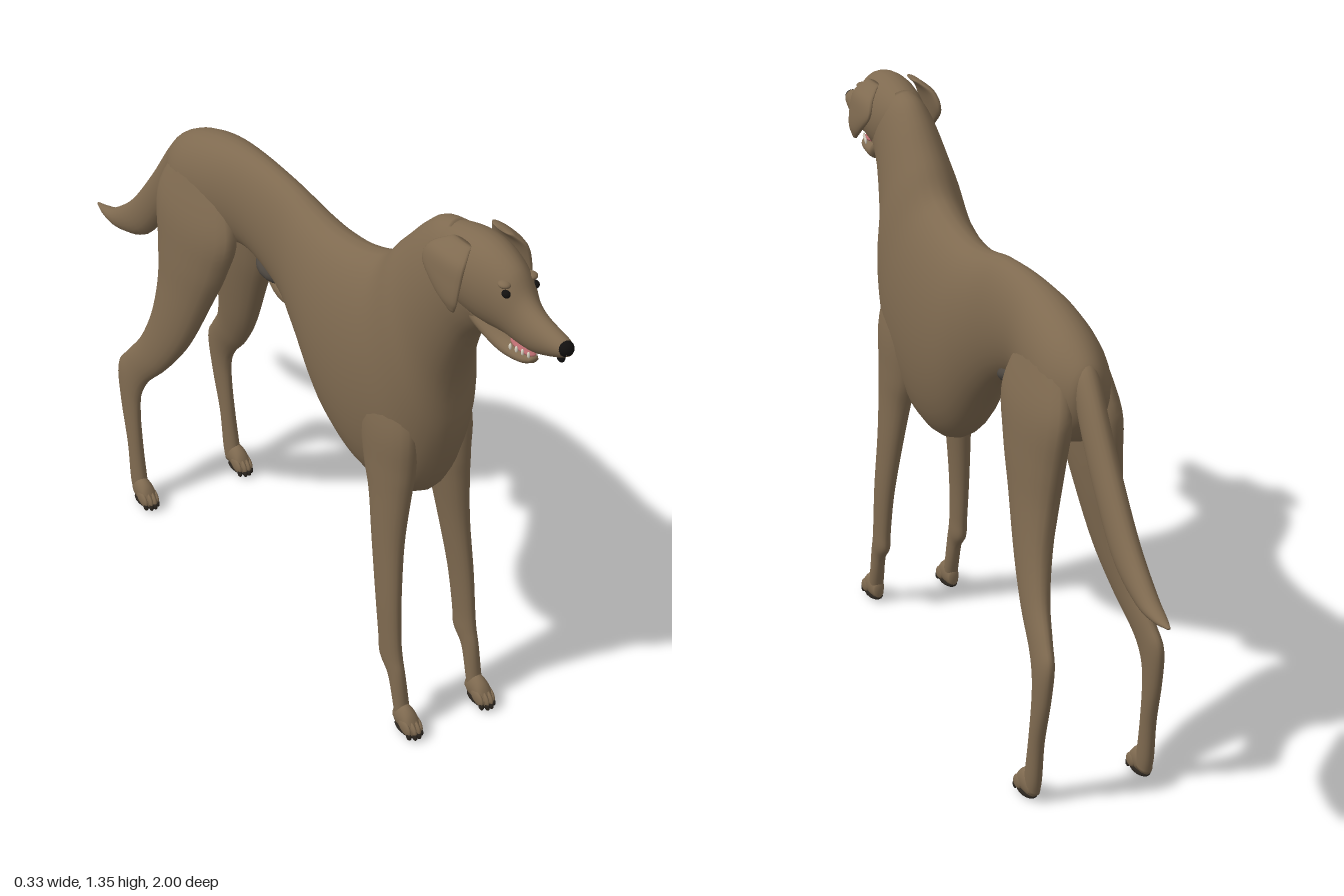
import * as THREE from 'three';

const mat = (name, color) => {
  const m = new THREE.MeshStandardMaterial({ color });
  m.name = name;
  return m;
};

// Smooth closed skin through stations [z1, y1, z2, y2, x, halfWidth]:
// two opposite edge points in the side plane, the middle x and the half width.
function loft(stations, side = 1, seg = 20, sub = 5) {
  const edgeA = new THREE.CatmullRomCurve3(stations.map(s => new THREE.Vector3(s[4] * side, s[1], s[0])), false, 'catmullrom');
  const edgeB = new THREE.CatmullRomCurve3(stations.map(s => new THREE.Vector3(s[5], s[3], s[2])), false, 'catmullrom');
  const n = (stations.length - 1) * sub;
  const pos = [], idx = [], mids = [];
  let facing = 0;
  for (let i = 0; i <= n; i++) {
    const a = edgeA.getPoint(i / n), b = edgeB.getPoint(i / n);
    const mid = [a.x, (a.y + b.y) / 2, (a.z + b.z) / 2];
    const vy = (a.y - b.y) / 2, vz = (a.z - b.z) / 2, w = Math.max(b.x, 0.002);
    if (i > 0) facing += -vz * (mid[1] - mids[i - 1][1]) + vy * (mid[2] - mids[i - 1][2]);
    mids.push(mid);
    for (let j = 0; j < seg; j++) {
      const t = j / seg * Math.PI * 2, c = Math.cos(t), s = Math.sin(t);
      pos.push(mid[0] + w * c, mid[1] + vy * s, mid[2] + vz * s);
    }
  }
  pos.push(...mids[0], ...mids[n]);
  const tri = (a, b, c) => (facing > 0 ? idx.push(a, b, c) : idx.push(a, c, b));
  const start = (n + 1) * seg;
  for (let j = 0; j < seg; j++) {
    const k = (j + 1) % seg;
    for (let i = 0; i < n; i++) {
      const r = i * seg, q = r + seg;
      tri(r + j, r + k, q + k);
      tri(r + j, q + k, q + j);
    }
    tri(start, k, j);
    tri(start + 1, n * seg + j, n * seg + k);
  }
  const g = new THREE.BufferGeometry();
  g.setAttribute('position', new THREE.Float32BufferAttribute(pos, 3));
  g.setIndex(idx);
  g.computeVertexNormals();
  return g;
}

export function createModel() {
  const fur = mat('brown fur', 0x7f6a50);
  const black = mat('black nose', 0x12100f);
  const dark = mat('dark pads', 0x2a241d);
  const grey = mat('grey skin', 0x4c463f);
  const pink = mat('pink tongue', 0xb86a6e);
  const white = mat('ivory teeth', 0xd9d2c2);
  const dog = new THREE.Group();
  dog.name = 'dog';

  const add = (name, geometry, material = fur) => {
    const m = new THREE.Mesh(geometry, material);
    m.name = name;
    dog.add(m);
    return m;
  };
  const ball = (name, p, r, material = fur, tilt = 0) => {
    const m = add(name, new THREE.SphereGeometry(1, 16, 12), material);
    m.position.set(...p);
    m.scale.set(...r);
    m.rotation.x = tilt;
    return m;
  };

  // Rump, loin, deep chest and neck in one skin
  add('body', loft([
    [-0.55, 0.98, -0.55, 0.92, 0, 0.02],
    [-0.53, 1.025, -0.53, 0.87, 0, 0.05],
    [-0.45, 1.075, -0.47, 0.82, 0, 0.08],
    [-0.33, 1.11, -0.36, 0.83, 0, 0.082],
    [-0.20, 1.122, -0.20, 0.865, 0, 0.066],
    [-0.05, 1.115, -0.05, 0.815, 0, 0.064],
    [0.06, 1.095, 0.05, 0.73, 0, 0.08],
    [0.15, 1.088, 0.17, 0.60, 0, 0.097],
    [0.25, 1.10, 0.30, 0.54, 0, 0.107],
    [0.33, 1.125, 0.42, 0.55, 0, 0.113],
    [0.37, 1.15, 0.53, 0.61, 0, 0.114],
    [0.41, 1.195, 0.60, 0.77, 0, 0.106],
    [0.45, 1.235, 0.612, 0.93, 0, 0.09],
    [0.50, 1.285, 0.66, 1.06, 0, 0.075],
    [0.545, 1.318, 0.71, 1.12, 0, 0.065],
    [0.60, 1.332, 0.74, 1.14, 0, 0.058],
  ], 1, 32));

  add('tail', loft([
    [-0.52, 1.03, -0.45, 0.99, 0, 0.025],
    [-0.555, 1.005, -0.495, 0.95, 0.004, 0.03],
    [-0.61, 0.945, -0.555, 0.855, 0.008, 0.03],
    [-0.69, 0.84, -0.635, 0.75, 0.01, 0.03],
    [-0.795, 0.72, -0.74, 0.64, 0.012, 0.029],
    [-0.90, 0.64, -0.86, 0.595, 0.015, 0.024],
    [-0.96, 0.615, -0.94, 0.592, 0.017, 0.016],
    [-1.0, 0.606, -0.997, 0.6, 0.018, 0.004],
  ]));

  // Skull and upper muzzle
  add('head', loft([
    [0.996, 1.22, 0.996, 1.2, 0, 0.01],
    [0.975, 1.232, 0.97, 1.185, 0, 0.022],
    [0.90, 1.247, 0.90, 1.158, 0, 0.031],
    [0.855, 1.27, 0.85, 1.152, 0, 0.037],
    [0.815, 1.316, 0.80, 1.155, 0, 0.05],
    [0.755, 1.342, 0.74, 1.15, 0, 0.064],
    [0.69, 1.347, 0.69, 1.15, 0, 0.07],
    [0.62, 1.335, 0.65, 1.15, 0, 0.065],
    [0.55, 1.31, 0.62, 1.17, 0, 0.05],
    [0.53, 1.28, 0.58, 1.20, 0, 0.02],
  ], 1, 28));
  add('lowerJaw', loft([
    [0.882, 1.136, 0.878, 1.122, 0, 0.01],
    [0.855, 1.139, 0.85, 1.111, 0, 0.023],
    [0.79, 1.146, 0.785, 1.105, 0, 0.03],
    [0.73, 1.18, 0.72, 1.128, 0, 0.042],
    [0.68, 1.22, 0.66, 1.15, 0, 0.045],
  ]));
  ball('nose', [0, 1.212, 0.98], [0.019, 0.018, 0.02], black);
  ball('noseGroove', [0, 1.187, 0.968], [0.008, 0.015, 0.012], black);
  ball('tongue', [0, 1.143, 0.84], [0.017, 0.007, 0.04], pink, 0.08);

  const legs = {
    frontLeg: [
      [0.50, 0.97, 0.36, 0.95, 0.05, 0.03],
      [0.555, 0.80, 0.36, 0.78, 0.069, 0.044],
      [0.553, 0.68, 0.38, 0.66, 0.074, 0.041],
      [0.545, 0.60, 0.41, 0.58, 0.08, 0.035],
      [0.54, 0.48, 0.435, 0.47, 0.09, 0.028],
      [0.55, 0.34, 0.465, 0.33, 0.10, 0.022],
      [0.558, 0.24, 0.483, 0.22, 0.103, 0.019],
      [0.565, 0.19, 0.49, 0.17, 0.103, 0.019],
      [0.575, 0.15, 0.525, 0.13, 0.103, 0.017],
      [0.588, 0.07, 0.55, 0.06, 0.102, 0.018],
      [0.60, 0.03, 0.56, 0.02, 0.102, 0.017],
    ],
    hindLeg: [
      [-0.29, 1.04, -0.49, 1.02, 0.04, 0.03],
      [-0.215, 0.90, -0.543, 0.90, 0.058, 0.05],
      [-0.245, 0.79, -0.525, 0.78, 0.068, 0.05],
      [-0.30, 0.68, -0.513, 0.68, 0.078, 0.044],
      [-0.375, 0.535, -0.52, 0.58, 0.095, 0.036],
      [-0.45, 0.435, -0.555, 0.485, 0.112, 0.028],
      [-0.52, 0.365, -0.61, 0.415, 0.125, 0.022],
      [-0.55, 0.31, -0.643, 0.365, 0.132, 0.02],
      [-0.555, 0.25, -0.63, 0.27, 0.135, 0.018],
      [-0.545, 0.15, -0.598, 0.16, 0.137, 0.017],
      [-0.53, 0.07, -0.585, 0.06, 0.138, 0.018],
      [-0.52, 0.03, -0.575, 0.02, 0.138, 0.017],
    ],
  };

  // Paw with four toes, claws and a dark sole; z is the heel
  const paw = (name, x, z, side) => {
    add(name, loft([
      [z - 0.008, 0.05, z - 0.008, 0.015, x, 0.012],
      [z + 0.02, 0.074, z + 0.01, 0.009, x, 0.02],
      [z + 0.05, 0.062, z + 0.05, 0.009, x, 0.021],
      [z + 0.072, 0.03, z + 0.072, 0.012, x, 0.014],
    ], side));
    ball(name + 'Sole', [x * side, 0.012, z + 0.035], [0.02, 0.011, 0.042], dark);
    for (let i = -1.5; i <= 1.5; i++) {
      const tx = x * side + i * 0.011, tz = z + 0.06 - Math.abs(i) * 0.008;
      ball(name + 'Toe', [tx, 0.03, tz], [0.007, 0.017, 0.026], fur, 0.4);
      ball(name + 'Claw', [tx, 0.014, tz + 0.018], [0.005, 0.01, 0.009], dark);
    }
  };

  for (const side of [1, -1]) {
    const label = side > 0 ? 'left' : 'right';
    for (const [name, stations] of Object.entries(legs)) add(label + name[0].toUpperCase() + name.slice(1), loft(stations, side));
    paw(label + 'FrontPaw', 0.102, 0.56, side);
    paw(label + 'HindPaw', 0.14, -0.56, side);

    // Hanging ear flap
    add(label + 'Ear', loft([
      [0.715, 1.335, 0.65, 1.335, 0.052, 0.01],
      [0.735, 1.305, 0.612, 1.31, 0.08, 0.014],
      [0.737, 1.26, 0.60, 1.27, 0.092, 0.012],
      [0.732, 1.22, 0.65, 1.225, 0.096, 0.009],
      [0.718, 1.193, 0.698, 1.193, 0.092, 0.004],
    ], side));
    ball(label + 'Eye', [0.037 * side, 1.273, 0.823], [0.009, 0.009, 0.011], black);
    ball(label + 'Brow', [0.034 * side, 1.29, 0.812], [0.014, 0.008, 0.016]);

    // Row of small teeth along the jaw
    for (let i = 0; i < 4; i++) ball(label + 'Tooth', [side * (0.01 + i * 0.004), 1.141, 0.872 - i * 0.016], [0.003, 0.008, 0.004], white);
  }

  // Underbelly fold and bare skin
  ball('bellyFold', [0, 0.815, -0.10], [0.02, 0.022, 0.055], fur, 0.5);
  ball('bellySkin', [0, 0.858, -0.12], [0.045, 0.025, 0.055], grey, 0.3);

  return dog;
}
